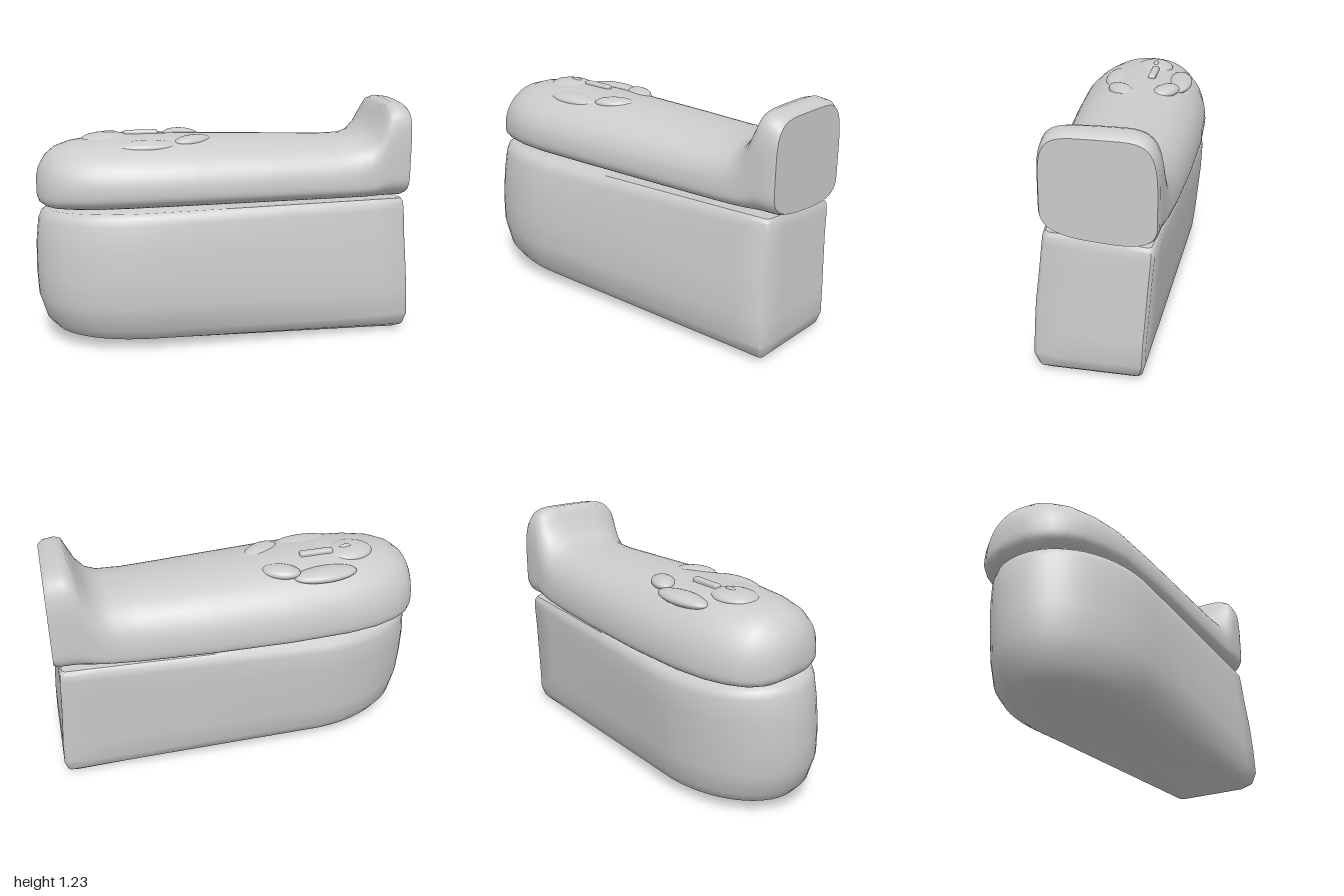
import * as THREE from 'three';
import { toCreasedNormals } from 'three/addons/utils/BufferGeometryUtils.js';
import { RoundedBoxGeometry } from 'three/addons/geometries/RoundedBoxGeometry.js';

const material = new THREE.MeshStandardMaterial({ color: 0xcccccc });

// Closed skin over rings that run counterclockwise about their direction of travel.
function loft(rings, crease) {
  const n = rings[0].length, pos = [], index = [];
  rings.forEach(r => r.forEach(p => pos.push(p.x, p.y, p.z)));
  for (let i = 0; i < rings.length - 1; i++) {
    for (let j = 0; j < n; j++) {
      const k = (j + 1) % n, a = i * n + j, b = i * n + k;
      index.push(a, b, b + n, a, b + n, a + n);
    }
  }
  [0, rings.length - 1].forEach((r, end) => {
    const c = new THREE.Vector3();
    rings[r].forEach(p => c.addScaledVector(p, 1 / n));
    const ci = pos.length / 3;
    pos.push(c.x, c.y, c.z);
    for (let j = 0; j < n; j++) {
      const a = r * n + j, b = r * n + (j + 1) % n;
      if (end) index.push(ci, a, b); else index.push(ci, b, a);
    }
  });
  const g = new THREE.BufferGeometry();
  g.setAttribute('position', new THREE.Float32BufferAttribute(pos, 3));
  g.setIndex(index);
  return toCreasedNormals(g, crease);
}

// The foot end is cut slightly askew.
const skew = (x, z) => x - 0.07 * (z + 0.25) * THREE.MathUtils.smoothstep(x, 0.75, 0.95);

// Plan outline of the chest: straight tapered sides and a round head.
function chestRing([y, head, foot, zf, zb, footF, footB]) {
  const shoulder = -0.42, pts = [];
  const add = (x, z) => {
    const t = y / 0.71;
    pts.push(new THREE.Vector3(skew(x, z), y + 0.08 * z * t + 0.025 * (0.95 - x) * (1 - t), z));
  };
  const side = (z0, z1, back) => {
    for (let i = 0; i < 8; i++) {
      const t = (back ? 8 - i : i) / 8;
      add(THREE.MathUtils.lerp(shoulder, foot - 0.015, t), THREE.MathUtils.lerp(z0, z1, t));
    }
  };
  side(zf, footF, false);
  add(foot - 0.015, footF);
  for (let i = 0; i <= 4; i++) add(foot, THREE.MathUtils.lerp(footF - 0.015, footB + 0.015, i / 4));
  side(zb, footB, true);
  for (let i = 0; i < 24; i++) {
    const a = Math.PI * i / 24;
    const s = Math.pow(Math.sin(a), 0.92);
    add(shoulder + (head - shoulder) * s, (zf + zb) / 2 - (zf - zb) / 2 * Math.cos(a));
  }
  return pts;
}

// Cross-section of the lid: domed top, tighter tucked-in underside.
function lidRing([x, zf, zb, top, bottom, power]) {
  const pts = [], n = 56, mid = bottom + (top - bottom) * 0.27;
  const sp = (v, e) => Math.sign(v) * Math.pow(Math.abs(v), e);
  for (let i = 0; i < n; i++) {
    const a = i / n * Math.PI * 2, c = Math.cos(a), s = Math.sin(a);
    const p = c >= 0 ? power : 3;
    const z = (zf + zb) / 2 + (zf - zb) / 2 * sp(s, 2 / p);
    const y = mid + (c >= 0 ? top - mid : mid - bottom) * sp(c, 2 / p) + (c < 0.05 ? 0.08 * z : 0.08 * z * (1 - c));
    pts.push(new THREE.Vector3(skew(x, z), y, z));
  }
  return pts;
}

export function createModel() {
  const model = new THREE.Group();
  const add = (name, geometry, parent = model) => {
    const m = new THREE.Mesh(geometry, material);
    m.name = name;
    parent.add(m);
    return m;
  };

  // Chest: y, head x, foot x, then front and back z at the shoulder and at the foot
  add('chest', loft([
    [0.00, -0.84, 0.95, 0.25, -0.25, 0.26, -0.16],
    [0.03, -0.91, 0.985, 0.32, -0.30, 0.31, -0.185],
    [0.09, -0.96, 1.00, 0.365, -0.335, 0.33, -0.20],
    [0.22, -0.995, 0.995, 0.39, -0.35, 0.325, -0.205],
    [0.36, -1.00, 0.985, 0.388, -0.362, 0.315, -0.215],
    [0.52, -0.995, 0.975, 0.375, -0.375, 0.295, -0.225],
    [0.65, -0.98, 0.97, 0.358, -0.38, 0.28, -0.235],
    [0.69, -0.965, 0.965, 0.345, -0.372, 0.275, -0.235],
    [0.71, -0.94, 0.955, 0.32, -0.35, 0.262, -0.222],
  ].map(chestRing), 0.75));

  // Lid with upturned foot board: x, front z, back z, top, underside, squareness
  add('lid', loft([
    [-0.98, 0.02, -0.10, 0.87, 0.775, 2],
    [-0.967, 0.08, -0.16, 0.92, 0.745, 2],
    [-0.93, 0.15, -0.235, 0.98, 0.722, 2.1],
    [-0.88, 0.205, -0.29, 1.02, 0.712, 2.1],
    [-0.80, 0.25, -0.335, 1.045, 0.708, 2.2],
    [-0.68, 0.29, -0.37, 1.06, 0.705, 2.2],
    [-0.52, 0.315, -0.388, 1.068, 0.705, 2.2],
    [-0.20, 0.318, -0.382, 1.064, 0.705, 2.2],
    [0.20, 0.31, -0.35, 1.05, 0.705, 2.3],
    [0.55, 0.302, -0.31, 1.038, 0.705, 2.4],
    [0.68, 0.298, -0.29, 1.04, 0.705, 2.6],
    [0.74, 0.295, -0.282, 1.06, 0.705, 2.9],
    [0.79, 0.293, -0.276, 1.11, 0.705, 3.4],
    [0.83, 0.291, -0.272, 1.175, 0.705, 4],
    [0.86, 0.29, -0.268, 1.22, 0.705, 4.6],
    [0.90, 0.289, -0.264, 1.23, 0.705, 5],
    [0.965, 0.287, -0.258, 1.222, 0.705, 5],
    [0.99, 0.278, -0.25, 1.20, 0.715, 5],
  ].map(lidRing), 0.75));

  // Low relief of the figure on the lid
  const figure = new THREE.Group();
  figure.name = 'figureRelief';
  model.add(figure);
  const mound = (name, x, y, z, rx, ry, rz, turn = 0) => {
    const m = add(name, new THREE.SphereGeometry(1, 32, 16), figure);
    m.position.set(x, y, z);
    m.scale.set(rx, ry, rz);
    m.rotation.y = turn;
  };
  mound('face', -0.61, 1.045, -0.08, 0.13, 0.036, 0.105);
  mound('nose', -0.59, 1.075, -0.09, 0.035, 0.014, 0.014);
  mound('frontLappet', -0.42, 1.03, 0.10, 0.17, 0.033, 0.075);
  mound('backLappet', -0.42, 1.02, -0.24, 0.17, 0.033, 0.07);
  mound('frontHand', -0.17, 1.045, 0.06, 0.11, 0.03, 0.06, 0.5);
  mound('backHand', -0.20, 1.04, -0.18, 0.10, 0.032, 0.06, -0.5);

  const beard = add('beard', new RoundedBoxGeometry(0.18, 0.04, 0.04, 3, 0.012), figure);
  beard.position.set(-0.425, 1.063, -0.092);
  beard.rotation.y = -0.05;

  return model;
}
